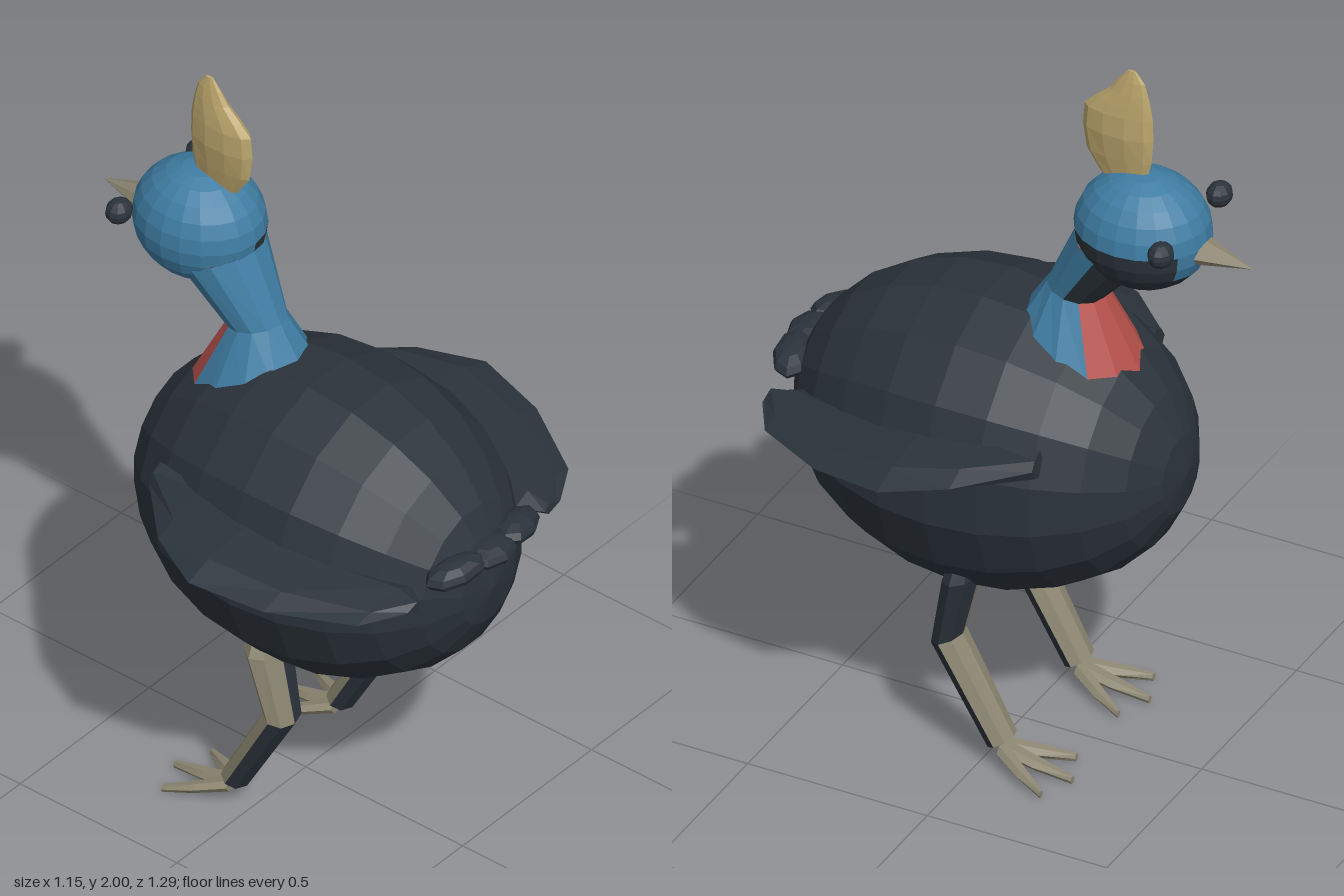
import * as THREE from 'three';

const mat = (name, color, extra = {}) => {
  const m = new THREE.MeshStandardMaterial({ color, flatShading: true, ...extra });
  m.name = name;
  return m;
};

// Closed skin over rings of equal point count, with capped ends, always facing outwards
function loft(rings) {
  const tris = [];
  const n = rings[0].length;
  for (let r = 0; r < rings.length - 1; r++) {
    for (let i = 0; i < n; i++) {
      const j = (i + 1) % n;
      const a = rings[r][i], b = rings[r][j], c = rings[r + 1][j], d = rings[r + 1][i];
      tris.push([a, b, c], [a, c, d]);
    }
  }
  const first = rings[0], last = rings[rings.length - 1];
  for (let i = 1; i < n - 1; i++) {
    tris.push([first[0], first[i + 1], first[i]], [last[0], last[i], last[i + 1]]);
  }
  const cross = new THREE.Vector3();
  const volume = tris.reduce((s, [a, b, c]) => s + a.dot(cross.crossVectors(b, c)), 0);
  const pts = tris.flatMap(t => (volume < 0 ? [t[0], t[2], t[1]] : t));
  const geo = new THREE.BufferGeometry().setFromPoints(pts);
  geo.computeVertexNormals();
  return geo;
}

// Assign a material index to each face from its centre and normal
function paint(source, rule) {
  const geo = source.index ? source.toNonIndexed() : source;
  geo.clearGroups();
  const p = geo.attributes.position;
  const tri = new THREE.Triangle(), c = new THREE.Vector3(), n = new THREE.Vector3();
  for (let i = 0; i < p.count; i += 3) {
    tri.setFromAttributeAndIndices(p, i, i + 1, i + 2);
    tri.getMidpoint(c);
    tri.getNormal(n);
    geo.addGroup(i, 3, rule(c, n));
  }
  return geo;
}

// Ring between a back and a front point in the side plane; angle 0 is the front
function ring(x, [zb, yb], [zf, yf], rx, sides, phase = 0) {
  return Array.from({ length: sides }, (_, i) => {
    const a = ((i + phase) / sides) * Math.PI * 2;
    const t = (1 + Math.cos(a)) / 2;
    return new THREE.Vector3(x + rx * Math.sin(a), yb + (yf - yb) * t, zb + (zf - zb) * t);
  });
}

export function createModel() {
  const model = new THREE.Group();
  const dark = mat('dark plumage', 0x2b333b);
  const blue = mat('blue skin', 0x3f7da3);
  const red = mat('red throat', 0xb5504a);
  const horn = mat('grey horn', 0x8c8671);
  const tan = mat('tan crest', 0xbba56c);

  const add = (name, geo, material, parent = model) => {
    const m = new THREE.Mesh(geo, material);
    m.name = name;
    parent.add(m);
    return m;
  };
  const ellipsoid = (name, r, pos, material, w, h) => {
    const geo = new THREE.SphereGeometry(1, w, h).scale(...r).translate(...pos);
    return add(name, geo, material);
  };

  // Body: faceted egg with its poles along z
  const body = new THREE.SphereGeometry(1, 16, 12).rotateY(Math.PI / 16).rotateX(Math.PI / 2);
  add('body', body.scale(0.393, 0.418, 0.53).translate(0, 0.855, 0.07), dark);

  // Neck: red throat in front, dark patch on one side
  const neck = loft([
    ring(0, [0.01, 1.2], [-0.36, 1.06], 0.17, 12),
    ring(0, [-0.08, 1.34], [-0.23, 1.31], 0.078, 12),
    ring(0, [-0.165, 1.53], [-0.37, 1.46], 0.125, 12),
  ]);
  add('neck', paint(neck, (c, n) => {
    const a = Math.atan2(n.x, -n.z);
    if (c.y < 1.32) return Math.abs(a) < 1.05 ? 1 : 0;
    if (a > 0 && a < 1.75) return 2;
    return a <= 0 && a > -0.5 ? 1 : 0;
  }), [blue, red, dark]);

  // Head: dark lower quarter on one side
  const head = new THREE.SphereGeometry(1, 20, 12).scale(0.155, 0.158, 0.178).translate(0, 1.552, -0.338);
  add('head', paint(head, c => (c.x > 0 && c.y < 1.55 && c.z > -0.47 ? 1 : 0)), [blue, dark]);

  // Beak
  const beak = new THREE.ConeGeometry(1, 0.185, 8).rotateX(-Math.PI / 2).scale(0.064, 0.042, 1);
  const beakMesh = add('beak', beak, horn);
  beakMesh.position.set(0, 1.527, -0.553);
  beakMesh.rotation.x = -0.1;

  // Crest: thin lens sections, [y, z back, z front, half width]
  const crest = [
    [1.68, -0.22, -0.345, 0.012], [1.74, -0.18, -0.36, 0.022], [1.81, -0.17, -0.366, 0.031],
    [1.87, -0.175, -0.364, 0.029], [1.9, -0.205, -0.36, 0.025], [1.935, -0.245, -0.352, 0.019],
    [1.97, -0.27, -0.342, 0.012], [2.0, -0.295, -0.318, 0.004],
  ];
  add('crest', loft(crest.map(([y, b, f, w]) => ring(0, [b, y], [f, y], w, 10))), tan);

  // Tail tufts
  ellipsoid('tailTuftMiddle', [0.08, 0.03, 0.06], [0, 0.965, 0.585], dark, 8, 6);

  // Wing sections: [z, inner x, outer x, top y, bottom y]
  const wing = [
    [-0.212, 0.29, 0.35, 1.03, 0.95], [-0.06, 0.26, 0.5, 1.022, 0.94],
    [0.1, 0.26, 0.577, 1.012, 0.925], [0.3, 0.25, 0.53, 0.985, 0.912],
    [0.5, 0.2, 0.41, 0.957, 0.905], [0.565, 0.24, 0.3, 0.945, 0.915],
  ];

  for (const s of [1, -1]) {
    const side = s > 0 ? 'left' : 'right';

    add(side + 'Wing', loft(wing.map(([z, xi, xo, yt, yb]) => {
      const mid = (yt + yb) / 2;
      const at = (t, y) => new THREE.Vector3(s * (xi + (xo - xi) * t), y, z);
      return [at(1, mid), at(0.75, yt - 0.015), at(0.25, yt), at(0, mid), at(0.25, yb), at(0.75, yb + 0.012)];
    })), dark);

    const tuft = ellipsoid(side + 'TailTuft', [0.088, 0.033, 0.05], [0, 0, 0], dark, 8, 6);
    tuft.position.set(s * 0.12, 0.965, 0.575);
    tuft.rotation.set(0, s * 0.3, s * -0.12);

    ellipsoid(side + 'Eye', [0.038, 0.034, 0.033], [s * 0.155, 1.597, -0.468], dark, 10, 8);

    // Leg: bent at the knee, horn-coloured on the front and one side
    const x = s * 0.207;
    const leg = loft([
      ring(x + s * 0.004, [0.085, 0.575], [0.015, 0.58], 0.055, 8),
      ring(x + s * 0.004, [0.097, 0.53], [0.008, 0.54], 0.076, 8),
      ring(x, [0.135, 0.325], [0.055, 0.352], 0.057, 8),
      ring(x - s * 0.003, [-0.02, 0.055], [-0.085, 0.09], 0.047, 8),
    ]);
    add(side + 'Leg', paint(leg, (c, n) => {
      if (c.y > 0.36 || (c.y > 0.3 && c.z > 0.12)) return n.x < 0 ? 1 : 0;
      return n.z < -0.2 || (n.x < -0.6 && n.z < 0.25) ? 1 : 0;
    }), [dark, horn]);

    // Foot: three tapering toes spreading from the ankle
    const foot = new THREE.Group();
    foot.name = side + 'Foot';
    foot.position.set(x - s * 0.003, 0, -0.06);
    model.add(foot);
    for (const k of [-1, 0, 1]) {
      const section = (cx, cy, z, w, h) => Array.from({ length: 6 }, (_, i) => {
        const a = (i / 6) * Math.PI * 2;
        return new THREE.Vector3(cx + w * Math.cos(a), cy + h * Math.sin(a), z);
      });
      add('toe', loft([
        section(k * 0.012, 0.05, 0.003, 0.026, 0.019),
        section(k * 0.055, 0.029, k ? -0.075 : -0.09, 0.023, 0.016),
        section(k * 0.094, 0.011, k ? -0.15 : -0.188, 0.009, 0.011),
      ]), horn, foot);
    }
  }
  return model;
}
